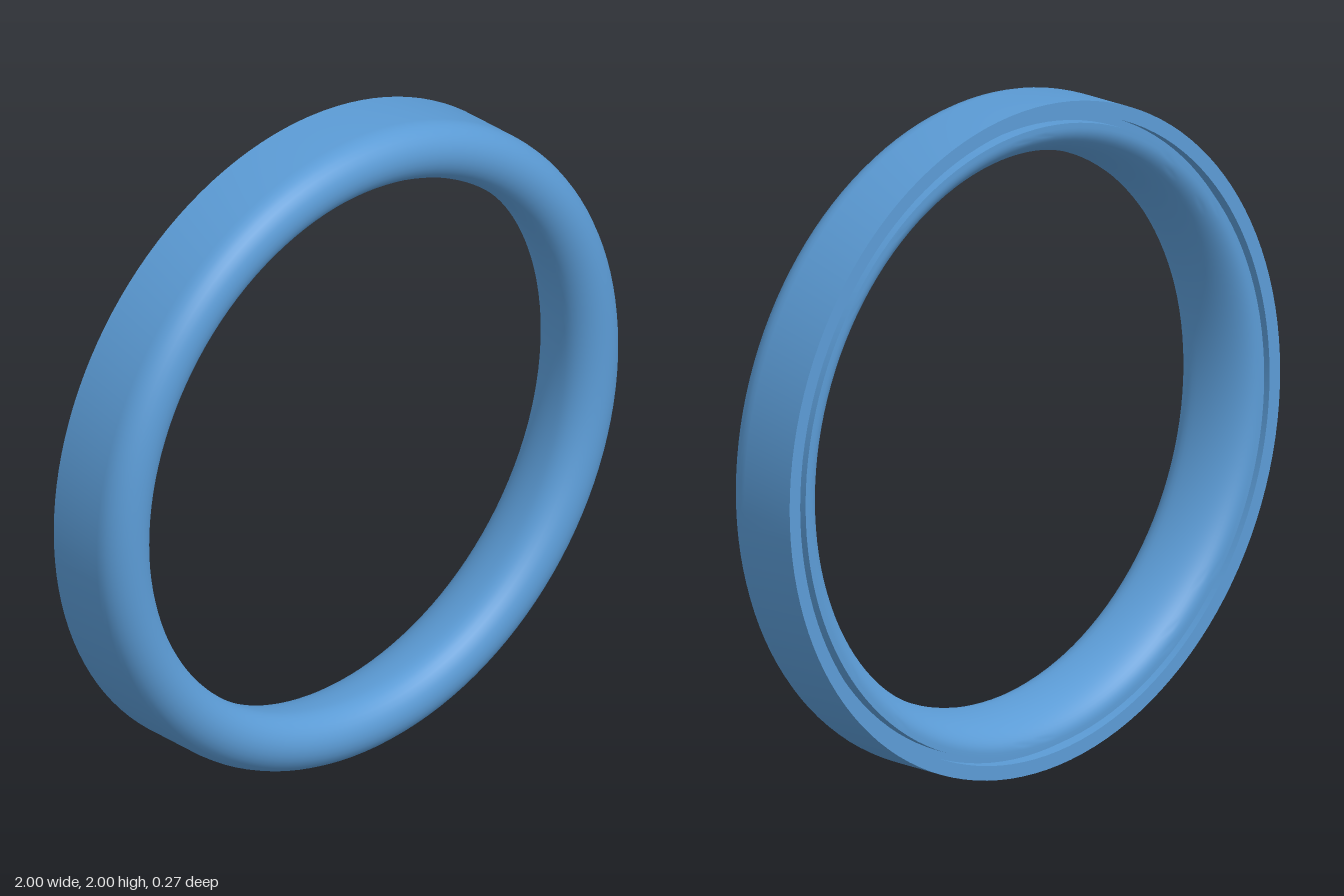
import * as THREE from 'three';
import { toCreasedNormals } from 'three/addons/utils/BufferGeometryUtils.js';

const BACK = -0.135;      // flat rear plane
const NECK_Z = 0.048;     // depth at which the bore is narrowest
const STEPS = 16;

// Points on an elliptical arc in the (radius, depth) plane.
function arc(cr, cz, rr, rz, from, to) {
  return Array.from({ length: STEPS + 1 }, (_, i) => {
    const a = from + ((to - from) * i) / STEPS;
    return new THREE.Vector2(cr + rr * Math.cos(a), cz + rz * Math.sin(a));
  });
}

export function createModel() {
  const group = new THREE.Group();
  group.name = 'ring';

  // Closed cross-section: outer wall, rounded front, bulging bore, grooved back
  const profile = [
    new THREE.Vector2(1, BACK),
    ...arc(0.9125, NECK_Z, 0.0875, 0.087, 0, Math.PI),
    ...arc(0.92, NECK_Z, 0.095, NECK_Z - BACK, Math.PI, Math.PI * 1.5).slice(1),
    new THREE.Vector2(0.935, BACK),
    new THREE.Vector2(0.935, BACK + 0.04),
    new THREE.Vector2(0.957, BACK + 0.04),
    new THREE.Vector2(0.957, BACK),
    new THREE.Vector2(1, BACK),
  ];

  // Revolve about the depth axis, keeping the groove and rim edges sharp
  const geometry = new THREE.LatheGeometry(profile, 128);
  geometry.rotateX(Math.PI / 2);

  const body = new THREE.Mesh(
    toCreasedNormals(geometry, 0.6),
    new THREE.MeshStandardMaterial({ color: 0x5b9bd5 })
  );
  body.name = 'ringBody';
  body.position.y = 1;
  group.add(body);
  return group;
}
